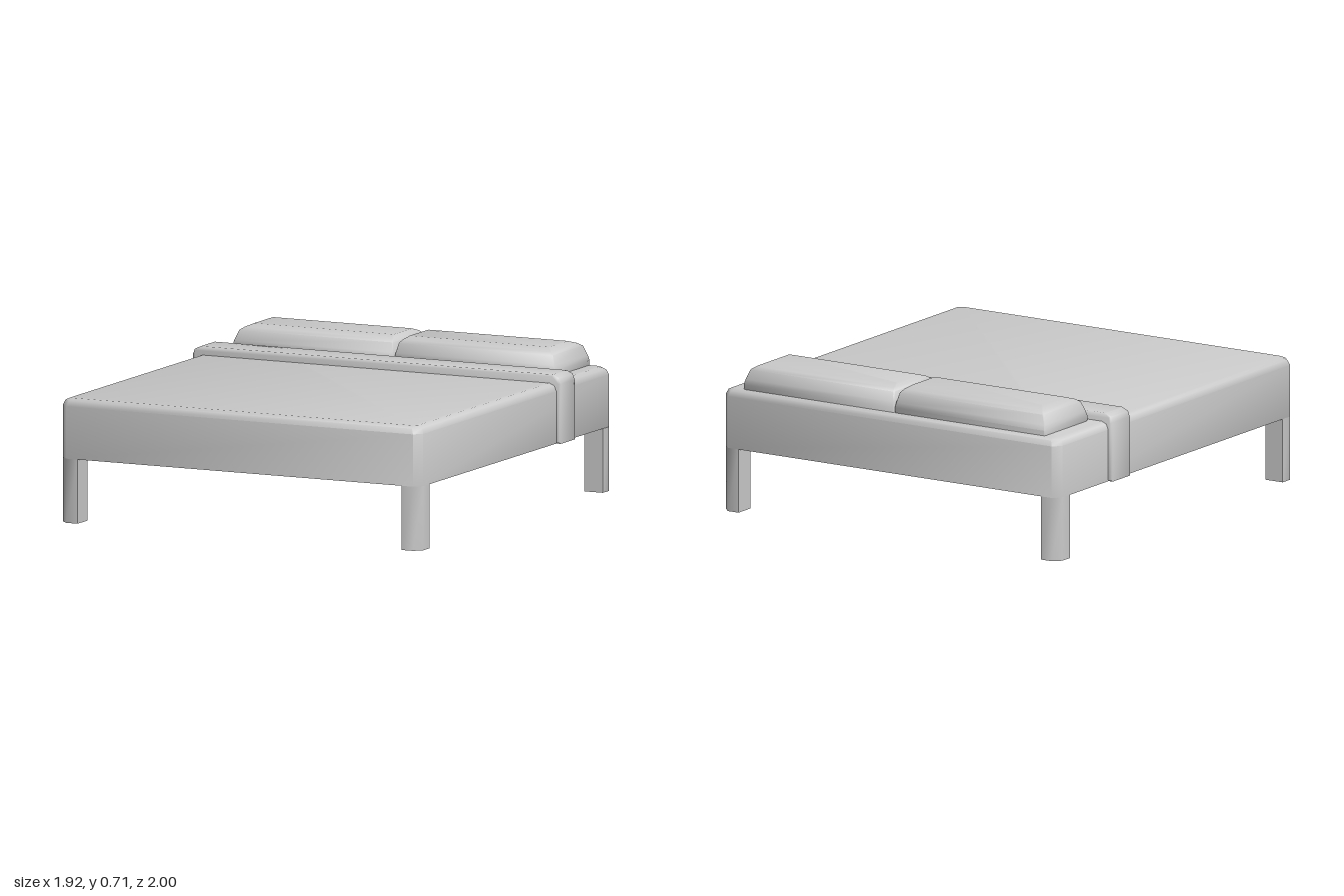
import * as THREE from 'three';
import { toCreasedNormals } from 'three/addons/utils/BufferGeometryUtils.js';

const material = new THREE.MeshStandardMaterial({ color: 0xcccccc });
const CREASE = THREE.MathUtils.degToRad(50);

function addMesh(group, name, geometry) {
  const mesh = new THREE.Mesh(toCreasedNormals(geometry, CREASE), material);
  mesh.name = name;
  group.add(mesh);
  return mesh;
}

// Rectangle outline in x/z, anticlockwise from above, with chamfered corners
function ring(y, x0, x1, z0, z1, c) {
  return [
    [x1 - c, z1], [x1, z1 - c], [x1, z0 + c], [x1 - c, z0],
    [x0 + c, z0], [x0, z0 + c], [x0, z1 - c], [x0 + c, z1],
  ].map(([x, z]) => [x, y, z]);
}

// Closed solid through a stack of rings, bottom to top
function loft(rings) {
  const n = rings[0].length, last = (rings.length - 1) * n, index = [];
  for (let i = 0; i < rings.length - 1; i++) {
    for (let j = 0; j < n; j++) {
      const a = i * n + j, b = i * n + (j + 1) % n;
      index.push(a, b, b + n, a, b + n, a + n);
    }
  }
  for (let j = 1; j < n - 1; j++) {
    index.push(0, j + 1, j, last, last + j, last + j + 1);
  }
  const geometry = new THREE.BufferGeometry();
  geometry.setAttribute('position', new THREE.Float32BufferAttribute(rings.flat(2), 3));
  geometry.setIndex(index);
  return geometry;
}

export function createModel() {
  const bed = new THREE.Group();
  bed.name = 'bed';
  const W = 0.94, L = 1, base = 0.303, top = 0.586;

  // Mattress and frame in one block, softened along the top and upright edges
  addMesh(bed, 'mattress', loft([
    ring(base, -W, W, -L, L, 0.036),
    ring(0.55, -W, W, -L, L, 0.036),
    ring(0.575, -W + 0.01, W - 0.01, -L + 0.01, L - 0.01, 0.036),
    ring(top, -W + 0.035, W - 0.035, -L + 0.035, L - 0.035, 0.02),
  ]));

  // Four square legs, chamfered on the outer corner only
  const w = 0.095, d = 0.1, c = 0.036;
  for (const sx of [-1, 1]) {
    for (const sz of [-1, 1]) {
      let outline = [[W - c, L], [W, L - c], [W, L - d], [W - w, L - d], [W - w, L]];
      outline = outline.map(([x, z]) => [x * sx, z * sz]);
      if (sx * sz < 0) outline.reverse();
      addMesh(bed, `${sz > 0 ? 'front' : 'back'}${sx > 0 ? 'Left' : 'Right'}Leg`,
        loft([0, base].map((y) => outline.map(([x, z]) => [x, y, z]))));
    }
  }

  // Folded blanket band, draped over the top and both sides
  const b = 0.008, bx = 0.96 - b, by = 0.626 - b;
  const profile = new THREE.Shape([
    [-bx, 0.302 + b], [bx, 0.302 + b], [bx, by - 0.035], [bx - 0.009, by - 0.012],
    [bx - 0.035, by], [-bx + 0.035, by], [-bx + 0.009, by - 0.012], [-bx, by - 0.035],
  ].map(([x, y]) => new THREE.Vector2(x, y)));
  const band = addMesh(bed, 'blanketBand', new THREE.ExtrudeGeometry(profile, {
    depth: 0.161 - 2 * b, bevelSize: b, bevelThickness: b, bevelSegments: 1,
  }));
  band.position.z = -0.577 + b;

  // Pair of pillows: each row is height, then inset at the sides and at the ends
  const layers = [
    [0.57, 0.002, 0.003], [0.61, 0, 0], [0.635, 0.007, 0.006],
    [0.68, 0.024, 0.022], [0.694, 0.043, 0.045], [0.707, 0.072, 0.085],
  ];
  for (const side of [-1, 1]) {
    const cx = side * 0.422 - 0.003, half = 0.42;
    addMesh(bed, side > 0 ? 'leftPillow' : 'rightPillow', loft(layers.map(([y, ix, iz]) => {
      const inner = ix * 0.55; // the sides that meet are steeper
      const x0 = cx - half + (side > 0 ? inner : ix);
      const x1 = cx + half - (side > 0 ? ix : inner);
      return ring(y, x0, x1, -0.968 + iz, -0.603 - iz, 0.004);
    })));
  }
  return bed;
}
